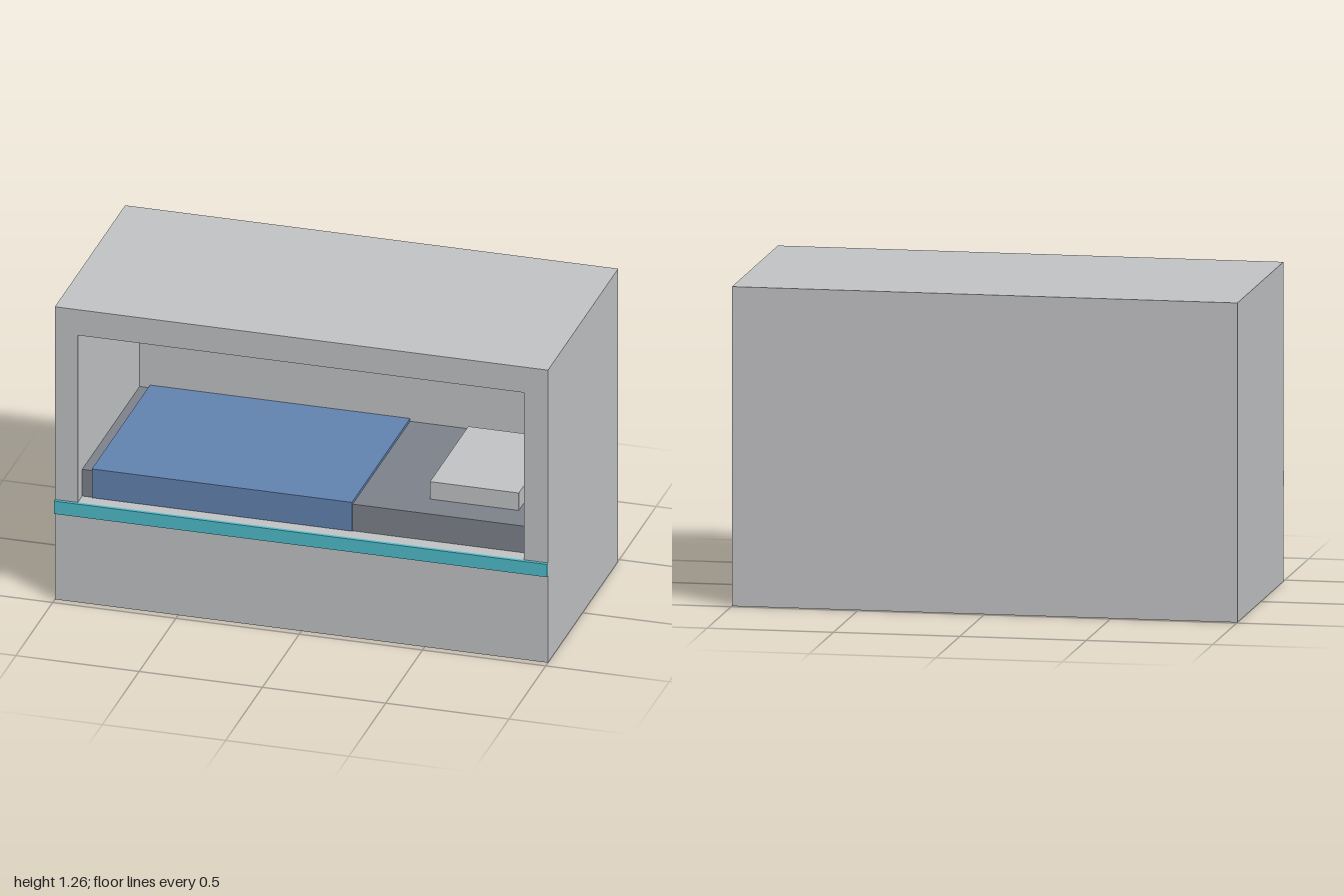
import * as THREE from 'three';

const BACK = -0.485, WALL = -0.37, FRONT = 0.47; // shell back, inner back wall, front face
const HEIGHT = 1.26, FLOOR = 0.43, CEILING = 1.15;
const LEFT = -0.907, RIGHT = 0.903; // sides of the opening

function mat(name, color) {
  const m = new THREE.MeshStandardMaterial({ color });
  m.name = name;
  return m;
}

export function createModel() {
  const group = new THREE.Group();
  group.name = 'sleepingPod';
  const grey = mat('light grey', 0xc2c3c5);
  const slate = mat('slate grey', 0x7e828b);
  const blue = mat('blue', 0x6283b0);
  const teal = mat('teal', 0x4fbccb);

  const add = (name, geometry, material) => {
    const mesh = new THREE.Mesh(geometry, material);
    mesh.name = name;
    group.add(mesh);
    return mesh;
  };
  // Box given by its limits on each axis
  const box = (name, material, [x0, x1], [y0, y1], [z0, z1]) =>
    add(name, new THREE.BoxGeometry(x1 - x0, y1 - y0, z1 - z0), material)
      .position.set((x0 + x1) / 2, (y0 + y1) / 2, (z0 + z1) / 2);

  // Shell with a rectangular opening running back to the rear wall
  const outline = new THREE.Shape([
    new THREE.Vector2(-1, 0), new THREE.Vector2(1, 0),
    new THREE.Vector2(1, HEIGHT), new THREE.Vector2(-1, HEIGHT),
  ]);
  outline.holes.push(new THREE.Path([
    new THREE.Vector2(LEFT, FLOOR), new THREE.Vector2(LEFT, CEILING),
    new THREE.Vector2(RIGHT, CEILING), new THREE.Vector2(RIGHT, FLOOR),
  ]));
  const shell = new THREE.ExtrudeGeometry(outline, { depth: FRONT - WALL, bevelEnabled: false });
  add('shell', shell.translate(0, 0, WALL), grey);
  box('rearWall', grey, [-1, 1], [0, HEIGHT], [BACK, WALL]);

  // Trim rail along the front sill
  box('frontTrim', teal, [-1, 1], [0.375, 0.43], [FRONT, 0.485]);

  // Bedding
  box('mattress', slate, [LEFT, RIGHT], [FLOOR, 0.545], [WALL, 0.41]);
  box('blanket', blue, [-0.865, 0.19], [0.433, 0.557], [WALL, 0.42]);
  box('pillow', grey, [0.465, 0.825], [0.545, 0.62], [-0.24, 0.28]);

  // Fittings on the rear wall
  box('lightBar', grey, [LEFT, RIGHT], [1.08, 1.117], [WALL, -0.33]);
  box('screen', blue, [0.62, 0.81], [0.803, 0.92], [WALL, WALL + 0.009]);

  return group;
}
